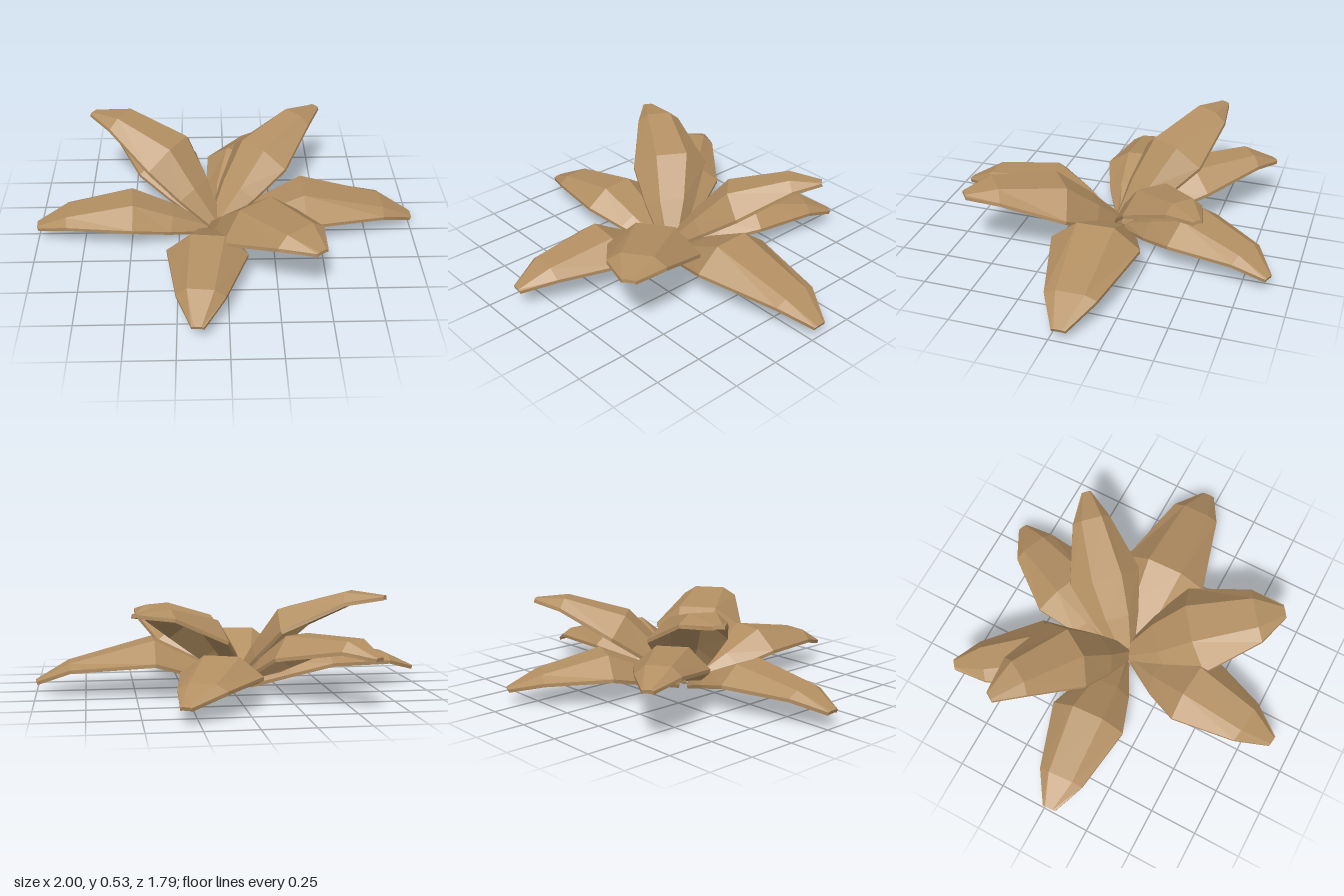
import * as THREE from 'three';

const THICKNESS = 0.018;

// Each petal: four stations [x, y, z, halfWidth, archHeight] from root to tip
const PETALS = {
  leftPetal: [[-0.01, 0.017, -0.02, 0.04, 0.025], [0.41, 0.17, -0.03, 0.23, 0.1], [0.83, 0.135, -0.05, 0.13, 0.025], [1.0, 0.065, -0.05, 0.035, 0.004]],
  rightPetal: [[-0.1, 0.017, -0.02, 0.04, 0.025], [-0.5, 0.145, -0.01, 0.2, 0.08], [-0.84, 0.135, 0.02, 0.12, 0.03], [-1.0, 0.085, 0.035, 0.035, 0.004]],
  frontPetal: [[-0.06, 0.02, 0.03, 0.04, 0.025], [-0.1, 0.165, 0.4, 0.205, 0.095], [-0.135, 0.155, 0.73, 0.12, 0.045], [-0.15, 0.105, 0.895, 0.03, 0.004]],
  frontLeftPetal: [[-0.06, 0.03, -0.02, 0.045, 0.025], [0.17, 0.235, 0.28, 0.24, 0.12], [0.35, 0.345, 0.535, 0.147, 0.045], [0.44, 0.35, 0.655, 0.035, 0.004]],
  backLeftUpperPetal: [[-0.06, 0.03, -0.02, 0.045, 0.025], [0.19, 0.3, -0.28, 0.19, 0.105], [0.395, 0.43, -0.47, 0.1, 0.045], [0.515, 0.455, -0.565, 0.025, 0.004]],
  backPetal: [[-0.04, 0.02, -0.07, 0.04, 0.025], [0.1, 0.145, -0.45, 0.21, 0.09], [0.225, 0.13, -0.75, 0.12, 0.03], [0.315, 0.08, -0.885, 0.027, 0.004]],
  backRightLowerPetal: [[-0.08, 0.03, -0.06, 0.045, 0.025], [-0.31, 0.22, -0.35, 0.19, 0.1], [-0.52, 0.28, -0.615, 0.11, 0.045], [-0.6, 0.255, -0.745, 0.027, 0.004]],
  backRightUpperPetal: [[-0.04, 0.03, -0.02, 0.045, 0.025], [-0.3, 0.345, -0.235, 0.2, 0.11], [-0.555, 0.485, -0.37, 0.115, 0.05], [-0.712, 0.51, -0.425, 0.028, 0.004]],
};
// Half width of the flat crown as a share of the petal's half width
const CROWN = [0.5, 0.48, 0.42, 0.55, 0.6];

// Extra station halfway to the widest one, so the petal swells out of its root
function swell([root, wide, ...rest]) {
  const middle = root.map((v, i) => (v + wide[i]) / 2);
  middle[1] += 0.005;
  middle[3] = wide[3] * 0.68;
  return [root, middle, wide, ...rest];
}

// Thin arched petal: an eight-point trapezoid shell swept along the stations
function petalGeometry(stations) {
  const centres = stations.map(([x, y, z]) => new THREE.Vector3(x, y, z));
  const last = centres.length - 1;
  const along = centres[last].clone().sub(centres[0]);
  const side = along.cross(new THREE.Vector3(0, 1, 0)).normalize();
  const positions = [];
  stations.forEach(([, , , half, arch], i) => {
    const tangent = centres[Math.min(i + 1, last)].clone().sub(centres[Math.max(i - 1, 0)]).normalize();
    const normal = side.clone().cross(tangent);
    const crown = half * CROWN[i];
    const top = [[-half, 0], [-crown, arch], [crown, arch], [half, 0]];
    const under = top.map(([s, h]) => [s, h - THICKNESS]).reverse();
    for (const [s, h] of [...top, ...under]) {
      const p = centres[i].clone().addScaledVector(side, s).addScaledVector(normal, h);
      positions.push(p.x, p.y, p.z);
    }
  });

  const index = [];
  const quad = (a, b, c, d) => index.push(a, b, c, a, c, d);
  for (let i = 0; i < last; i++) {
    for (let j = 0; j < 8; j++) {
      const k = (j + 1) % 8;
      quad(i * 8 + j, i * 8 + k, i * 8 + 8 + k, i * 8 + 8 + j);
    }
  }
  // Root and tip ends
  const tip = last * 8;
  for (let j = 0; j < 3; j++) {
    quad(7 - j, 6 - j, j + 1, j);
    quad(tip + j, tip + j + 1, tip + 6 - j, tip + 7 - j);
  }

  const geometry = new THREE.BufferGeometry();
  geometry.setAttribute('position', new THREE.Float32BufferAttribute(positions, 3));
  geometry.setIndex(index);
  const flat = geometry.toNonIndexed();
  flat.computeVertexNormals();
  return flat;
}

export function createModel() {
  const group = new THREE.Group();
  group.name = 'openFlower';
  const tan = new THREE.MeshStandardMaterial({ color: 0xb38f62, flatShading: true, side: THREE.DoubleSide });
  tan.name = 'tan';
  for (const [name, stations] of Object.entries(PETALS)) {
    const petal = new THREE.Mesh(petalGeometry(swell(stations)), tan);
    petal.name = name;
    group.add(petal);
  }
  return group;
}
